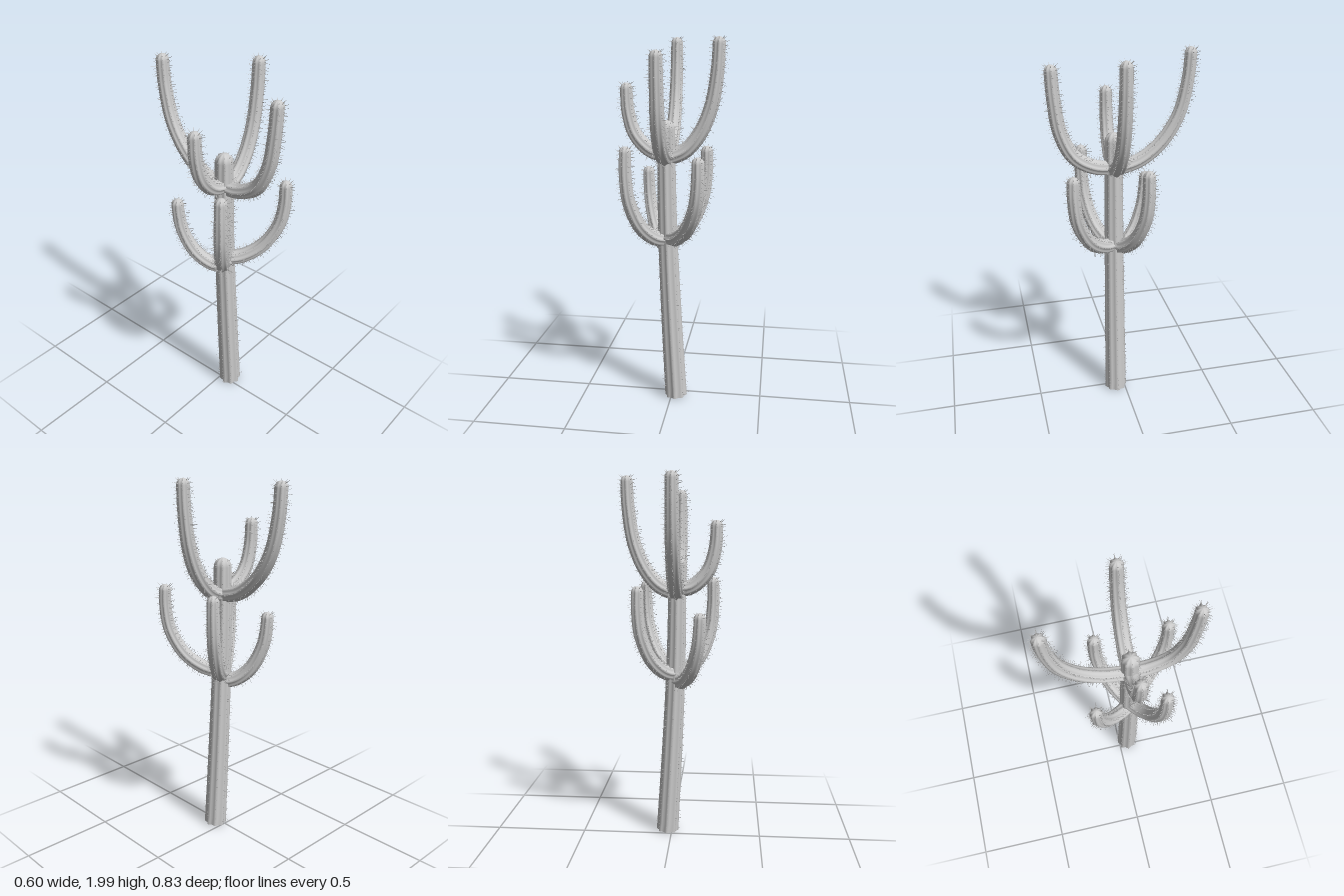
import * as THREE from 'three';
import { mergeGeometries } from 'three/addons/utils/BufferGeometryUtils.js';

const RIBS = 8, SIDES = RIBS * 4, RIB_DEPTH = 0.09;
const V = (x, y, z) => new THREE.Vector3(x, y, z);
const UP = V(0, 1, 0);

// small seeded random, -1..1
let seed = 7;
const rnd = () => {
  seed = (seed * 16807) % 2147483647;
  return (seed / 2147483647) * 2 - 1;
};

// centre and axes of a stem at a distance s along its curve
function frameAt(stem, s) {
  const u = Math.min(1, s / stem.length);
  const T = stem.curve.getTangentAt(u);
  const N = stem.side.clone().cross(T).normalize();
  const S = T.clone().cross(N);
  const body = stem.length - stem.r1;
  const r = THREE.MathUtils.lerp(stem.r0, stem.r1, Math.min(1, s / body));
  return { P: stem.curve.getPointAt(u), T, N, S, r };
}

// ribbed stem with a domed tip
function stemGeometry(stem) {
  const pos = [], idx = [], rows = [];
  const body = stem.length - stem.r1, steps = 32, domeSteps = 7;
  for (let i = 0; i <= steps; i++) rows.push([body * i / steps, 1]);
  for (let i = 1; i <= domeSteps; i++) {
    const a = (i / domeSteps) * Math.PI / 2;
    rows.push([body + stem.r1 * Math.sin(a), Math.max(0.001, Math.cos(a))]);
  }
  rows.forEach(([s, scale], i) => {
    const f = frameAt(stem, s);
    for (let j = 0; j < SIDES; j++) {
      const a = (j / SIDES) * Math.PI * 2;
      const r = f.r * scale * (1 - RIB_DEPTH + RIB_DEPTH * Math.cos(RIBS * a));
      const p = f.P.clone().addScaledVector(f.N, r * Math.cos(a)).addScaledVector(f.S, r * Math.sin(a));
      pos.push(p.x, p.y, p.z);
      if (i === 0) continue;
      const k = (j + 1) % SIDES, lo = (i - 1) * SIDES, hi = i * SIDES;
      idx.push(lo + j, lo + k, hi + k, lo + j, hi + k, hi + j);
    }
  });
  const g = new THREE.BufferGeometry();
  g.setAttribute('position', new THREE.Float32BufferAttribute(pos, 3));
  g.setIndex(idx);
  g.computeVertexNormals();
  return g;
}

// thorns along the rib crests and around the domed tip
function thornGeometry(stem, start, spacing, len) {
  const thorns = [];
  const add = (p, dir, l, w) => {
    const g = new THREE.ConeGeometry(w, l, 3, 1, true).translate(0, l * 0.4, 0);
    const q = new THREE.Quaternion().setFromUnitVectors(UP, dir.normalize());
    thorns.push(g.applyMatrix4(new THREE.Matrix4().compose(p, q, V(1, 1, 1))));
  };
  const body = stem.length - stem.r1;
  for (let k = 0; k < RIBS; k++) {
    const a = (k / RIBS) * Math.PI * 2;
    const out = f => f.N.clone().multiplyScalar(Math.cos(a)).addScaledVector(f.S, Math.sin(a));
    for (let s = start; s < body; s += spacing) {
      const f = frameAt(stem, s + rnd() * spacing * 0.4), o = out(f);
      const around = f.T.clone().cross(o);
      const dir = o.clone().addScaledVector(f.T, rnd() * 0.45).addScaledVector(around, rnd() * 0.45);
      add(f.P.addScaledVector(o, f.r), dir, len * (0.9 + 0.3 * rnd()), 0.0016);
    }
    for (const e of [0.25, 0.75]) {
      const f = frameAt(stem, body), o = out(f);
      const dir = o.multiplyScalar(Math.cos(e)).addScaledVector(f.T, Math.sin(e));
      add(f.P.addScaledVector(dir, f.r * 0.97), dir.clone(), len * 0.9, 0.0025);
    }
  }
  return mergeGeometries(thorns);
}

function makeStem(name, points, side, r0, r1, thorn) {
  const curve = new THREE.CatmullRomCurve3(points);
  curve.arcLengthDivisions = 400;
  const stem = { curve, side, r0, r1, length: curve.getLength() };
  const material = new THREE.MeshStandardMaterial({ color: 0xcccccc });
  const skin = new THREE.Mesh(stemGeometry(stem), material);
  skin.name = name + 'Stem';
  const thorns = new THREE.Mesh(thornGeometry(stem, ...thorn), material);
  thorns.name = name + 'Thorns';
  const group = new THREE.Group();
  group.name = name;
  group.add(skin, thorns);
  return group;
}

// arm shapes as [share of reach, height] pairs
const lowBend = [[0, 0.92], [0.3, 0.935], [0.65, 1.005], [0.92, 1.14], [1, 1.27]];
const roundBend = [[0, 1.38], [0.4, 1.4], [0.78, 1.48], [0.96, 1.6]];
const wideBend = [[0, 1.36], [0.35, 1.4], [0.64, 1.49], [0.86, 1.63], [0.97, 1.81]];
const frontBend = [[0, 1.37], [0.32, 1.38], [0.66, 1.44], [0.88, 1.57], [0.97, 1.75]];

// name, tip x, tip z, tip height, bend, height shift of the bend
const ARMS = [
  ['upperLeftArm', 0.24, 0.04, 1.98, wideBend, 0],
  ['upperRightArm', -0.24, 0.04, 1.75, roundBend, 0],
  ['upperFrontArm', -0.03, 0.355, 1.92, frontBend, 0],
  ['upperBackArm', -0.03, -0.355, 1.975, wideBend, 0],
  ['lowerFrontLeftArm', 0.165, 0.29, 1.41, lowBend, 0.01],
  ['lowerBackLeftArm', 0.17, -0.095, 1.41, lowBend, 0],
  ['lowerFrontRightArm', -0.22, 0.185, 1.44, lowBend, 0],
  ['lowerBackRightArm', -0.16, -0.16, 1.28, lowBend, -0.045],
];

export function createModel() {
  const model = new THREE.Group();
  model.name = 'cactus';

  // leaning trunk
  const trunk = makeStem('trunk',
    [V(0.025, 0, 0.052), V(0, 0.45, 0.05), V(-0.021, 0.92, 0.047), V(-0.028, 1.25, 0.045), V(-0.03, 1.56, 0.045)],
    V(0, 0, 1), 0.062, 0.047, [0.02, 0.024, 0.016]);
  model.add(trunk);

  // underside of the trunk
  const base = new THREE.Mesh(new THREE.CircleGeometry(0.056, SIDES), trunk.children[0].material);
  base.name = 'trunkBase';
  base.rotation.x = Math.PI / 2;
  base.position.set(0.025, 0.003, 0.052);
  model.add(base);

  // upturned arms
  for (const [name, x, z, top, bend, shift] of ARMS) {
    const x0 = -0.026, z0 = 0.045, dx = x - x0, dz = z - z0;
    const points = bend.map(([u, y]) => V(x0 + dx * u, y + shift, z0 + dz * u));
    points.push(V(x, top, z));
    const side = V(-dz, 0, dx).normalize();
    model.add(makeStem(name, points, side, 0.042, 0.033, [0.07, 0.017, 0.029]));
  }
  return model;
}
